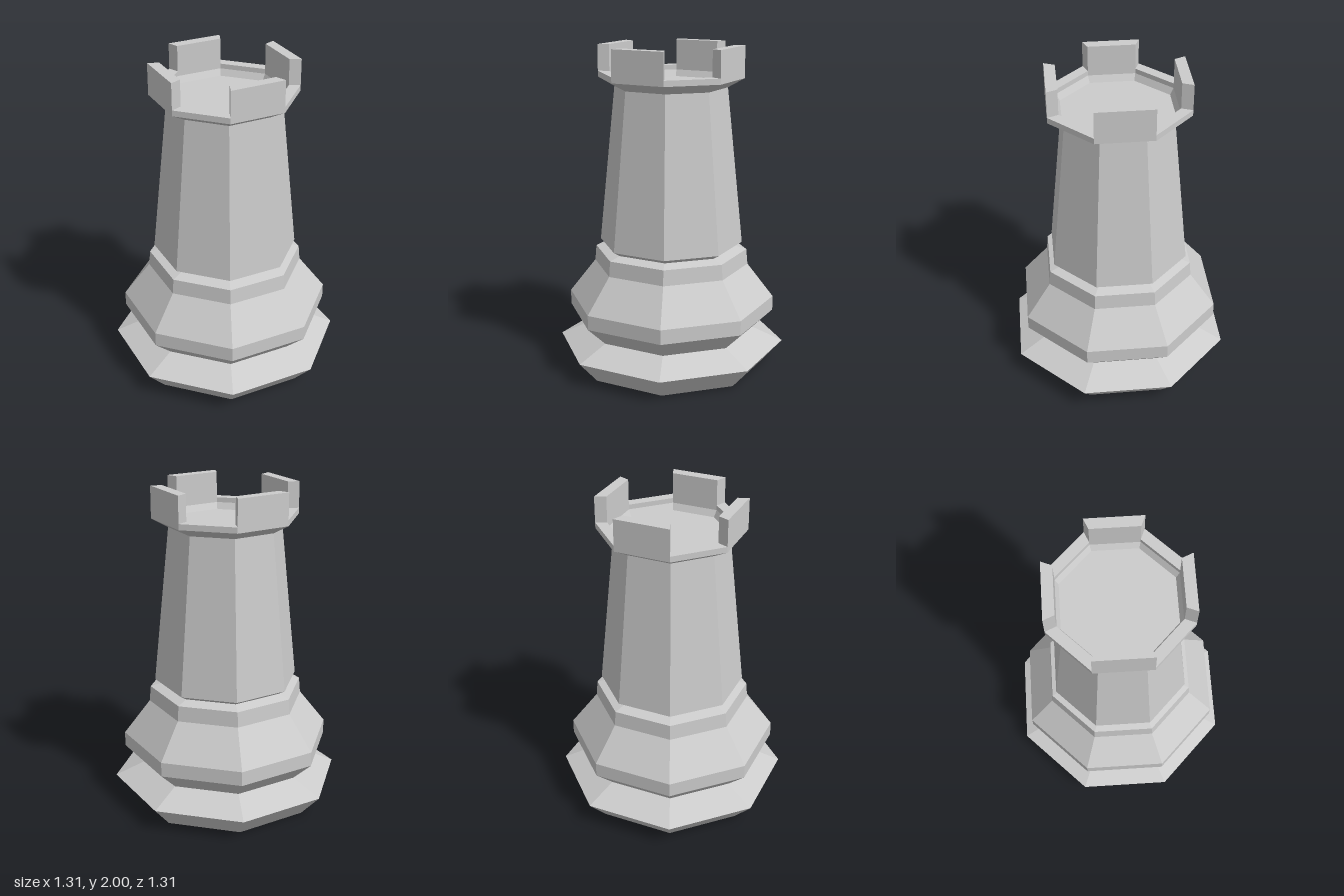
import * as THREE from 'three';

const SIDES = 8;
const HALF = Math.PI / SIDES;
const material = new THREE.MeshStandardMaterial({ color: 0xcccccc, flatShading: true });

// Octagonal turning from [distance to flat, height] pairs, flats facing the axes
function turned(name, profile) {
  const points = profile.map(([a, y]) => new THREE.Vector2(a / Math.cos(HALF), y));
  const geometry = new THREE.LatheGeometry(points, SIDES, HALF).toNonIndexed();
  geometry.computeVertexNormals();
  const mesh = new THREE.Mesh(geometry, material);
  mesh.name = name;
  return mesh;
}

// One wall segment of the crown, cut along the octagon's radial corners
function battlement(inner, outer, bottom, top) {
  const t = Math.tan(HALF);
  const shape = new THREE.Shape([
    new THREE.Vector2(-inner * t, inner),
    new THREE.Vector2(inner * t, inner),
    new THREE.Vector2(outer * t, outer),
    new THREE.Vector2(-outer * t, outer),
  ]);
  const geometry = new THREE.ExtrudeGeometry(shape, { depth: top - bottom, bevelEnabled: false });
  geometry.rotateX(-Math.PI / 2).translate(0, bottom, 0);
  return new THREE.Mesh(geometry, material);
}

export function createModel() {
  const model = new THREE.Group();
  model.name = 'chessRook';

  // Foot, waist and swelling base
  model.add(turned('base', [
    [0, 0], [0.54, 0], [0.655, 0.14], [0.48, 0.225], [0.595, 0.345],
    [0.595, 0.435], [0.445, 0.645], [0.437, 0.74], [0.37, 0.76],
  ]));

  // Tapered tower shaft with a chamfered lower edge
  model.add(turned('shaft', [[0.37, 0.76], [0.41, 0.787], [0.318, 1.75]]));

  // Flared crown with a low rim and sunken floor
  model.add(turned('crown', [
    [0.318, 1.75], [0.41, 1.805], [0.41, 1.84], [0.345, 1.84],
    [0.345, 1.81], [0.325, 1.77], [0, 1.77],
  ]));

  // Four battlements on the diagonal sides
  for (let i = 0; i < 4; i++) {
    const wall = battlement(0.345, 0.41, 1.84, 2);
    wall.name = `battlement${i + 1}`;
    wall.rotation.y = Math.PI / 4 + (i * Math.PI) / 2;
    model.add(wall);
  }
  return model;
}
